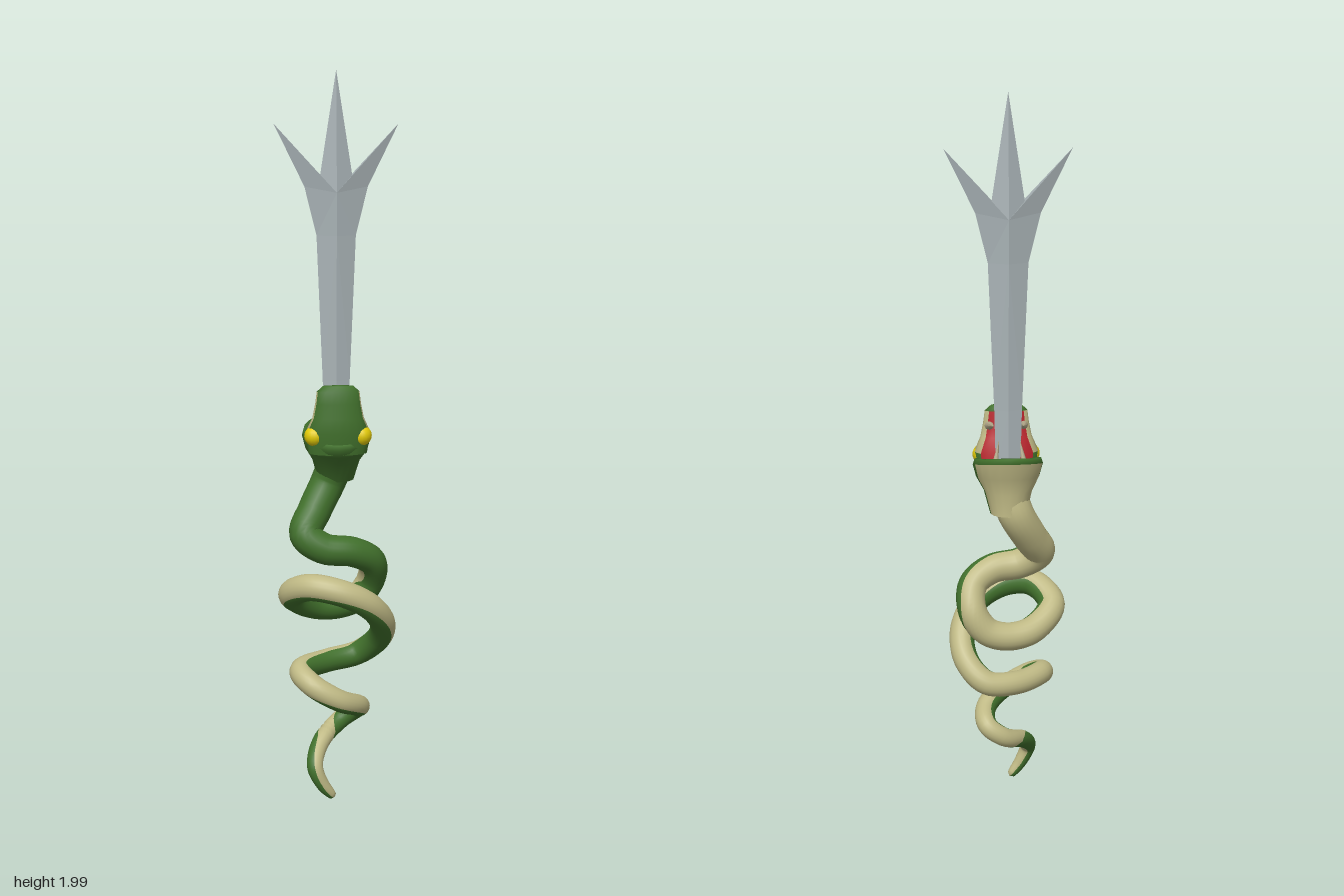
import * as THREE from 'three';

const mat = (name, color) => {
  const m = new THREE.MeshStandardMaterial({ color });
  m.name = name;
  return m;
};
const V = (x, y, z) => new THREE.Vector3(x, y, z);
const SIDES = 20;

// Skin a list of closed rings; colourAt(ring, angle) picks the material index
function loft(name, rings, materials, colourAt) {
  const pos = rings.flat().flatMap(p => [p.x, p.y, p.z]);
  const lists = materials.map(() => []);
  for (let i = 0; i < rings.length - 1; i++) {
    for (let j = 0; j < SIDES; j++) {
      const k = (j + 1) % SIDES;
      const a = i * SIDES + j, b = i * SIDES + k, c = b + SIDES, d = a + SIDES;
      let angle = (j + 0.5) / SIDES * 360;
      if (angle > 180) angle = 360 - angle;
      lists[colourAt(i, angle)].push(a, b, c, a, c, d);
    }
  }
  const g = new THREE.BufferGeometry();
  g.setAttribute('position', new THREE.Float32BufferAttribute(pos, 3));
  g.setIndex(lists.flat());
  let start = 0;
  lists.forEach((l, i) => { g.addGroup(start, l.length, i); start += l.length; });
  g.computeVertexNormals();
  const mesh = new THREE.Mesh(g, materials);
  mesh.name = name;
  return mesh;
}

// Horizontal oval ring, angle 0 at the back; tilt lifts the back edge
function oval([y, z, hw, dz, tilt = 0]) {
  return Array.from({ length: SIDES }, (_, j) => {
    const a = j / SIDES * Math.PI * 2;
    return V(-hw * Math.sin(a), y + tilt * Math.cos(a), z - dz * Math.cos(a));
  });
}

// Belly faces sideways on the tail, up and outward on the coils, back on the neck
function bellyDirection(p, t) {
  const coil = V(p.x, 0, p.z).normalize().add(V(0, 0.6, -0.7));
  const neck = V(-8 * Math.max(p.x, 0), -0.1, -1);
  return V(1, 0.2, 0)
    .lerp(coil, THREE.MathUtils.smoothstep(t, 0.08, 0.17))
    .lerp(neck, THREE.MathUtils.smoothstep(t, 0.69, 0.75));
}

// Coiled body swept along a path from tail to neck, thickening by rule
function body(materials) {
  const curve = new THREE.CatmullRomCurve3([
    V(-0.016, 0.015, 0.092), V(-0.05, 0.06, 0.10), V(-0.07, 0.11, 0.095), V(-0.05, 0.16, 0.04),
    V(0.01, 0.20, -0.025), V(0.055, 0.235, -0.02), V(0.055, 0.265, 0.04), V(0, 0.30, 0.095),
    V(-0.075, 0.345, 0.09), V(-0.105, 0.37, 0.04), V(-0.03, 0.372, -0.035), V(0.06, 0.385, -0.06),
    V(0.115, 0.44, -0.02), V(0.12, 0.51, 0.045), V(0.075, 0.575, 0.095), V(0, 0.615, 0.11),
    V(-0.08, 0.625, 0.085), V(-0.128, 0.585, 0.015), V(-0.07, 0.535, -0.045), V(0, 0.525, -0.068),
    V(0.06, 0.545, -0.073), V(0.098, 0.60, -0.065), V(0.095, 0.665, -0.025), V(0.04, 0.70, 0.003),
    V(-0.04, 0.713, 0.01), V(-0.088, 0.75, -0.005), V(-0.06, 0.81, -0.045), V(-0.022, 0.88, -0.075),
    V(-0.003, 0.93, -0.07),
  ]);
  const steps = 196, rings = [];
  for (let i = 0; i <= steps; i++) {
    const t = i / steps;
    const centre = curve.getPoint(t), tan = curve.getTangent(t);
    const r = 0.043 * t ** 0.25 + 0.007 * THREE.MathUtils.smoothstep(t, 0.78, 1);
    const u = bellyDirection(centre, t);
    u.addScaledVector(tan, -u.dot(tan)).normalize();
    const v = tan.clone().cross(u);
    rings.push(Array.from({ length: SIDES }, (_, j) => {
      const a = j / SIDES * Math.PI * 2;
      return centre.clone().addScaledVector(u, r * Math.cos(a)).addScaledVector(v, r * Math.sin(a));
    }));
  }
  return loft('coiledBody', rings, materials, (i, a) => (a < 88 ? 1 : 0));
}

// Three-pronged blade with a raised ridge, mirrored into four quarters
function blade(material) {
  const ridge = [[1.68, 0.028], [1.68, 0.028], [1.68, 0.028], [1.68, 0.028], [1.565, 0.023], [1.17, 0.013], [1, 0.011]];
  const edge = [[0, 2], [0.043, 1.725], [0.166, 1.86], [0.085, 1.695], [0.053, 1.565], [0.037, 1.17], [0.033, 1]];
  const pos = [];
  for (const sx of [1, -1]) for (const sz of [1, -1]) {
    const R = i => [0, ridge[i][0], sz * ridge[i][1]];
    const E = i => [sx * edge[i][0], edge[i][1], 0];
    const tri = (a, b, c) => pos.push(...a, ...(sx * sz > 0 ? [...b, ...c] : [...c, ...b]));
    for (let i = 0; i < edge.length - 1; i++) {
      tri(R(i), E(i + 1), E(i));
      if (i > 2) tri(R(i), R(i + 1), E(i + 1));
    }
  }
  const g = new THREE.BufferGeometry();
  g.setAttribute('position', new THREE.Float32BufferAttribute(pos, 3));
  g.computeVertexNormals();
  const mesh = new THREE.Mesh(g, material);
  mesh.name = 'blade';
  mesh.position.z = -0.058;
  return mesh;
}

// Tapered tooth between two points
function tooth(name, from, to, radius, material) {
  const d = to.clone().sub(from);
  const mesh = new THREE.Mesh(new THREE.ConeGeometry(radius, d.length(), 8), material);
  mesh.name = name;
  mesh.position.copy(from).addScaledVector(d, 0.5);
  mesh.quaternion.setFromUnitVectors(V(0, 1, 0), d.normalize());
  return mesh;
}

export function createModel() {
  const green = mat('scale green', 0x41702c);
  const tan = mat('belly tan', 0xbfb985);
  const red = mat('mouth red', 0xb8242c);
  const yellow = mat('eye yellow', 0xe3cb08);
  const bone = mat('tooth bone', 0xb5ab8c);
  const steel = mat('blade steel', 0xaab4b7);
  const skin = [green, tan, red];

  const model = new THREE.Group();
  model.name = 'serpentSword';
  model.add(body(skin), blade(steel));

  // Head base and lower jaw, hollowed into a red mouth
  const lower = [
    [0.89, -0.076, 0.05, 0.048], [0.95, -0.058, 0.066, 0.064],
    [0.985, -0.048, 0.086, 0.085, 0.012], [1.02, -0.05, 0.095, 0.1, 0.025],
    [1.035, -0.05, 0.09, 0.098, 0.025], [1.032, -0.05, 0.074, 0.08, 0.025],
    [0.995, -0.05, 0.05, 0.05], [0.985, -0.05, 0, 0],
  ];
  model.add(loft('lowerJaw', lower.map(oval), skin,
    (i, a) => (i > 4 ? 2 : i < 3 && a < 70 ? 1 : 0)));

  // Upper jaw with red palate and pale lips
  const upper = [
    [0.98, 0, 0.08, 0.04], [1.04, 0.004, 0.088, 0.044], [1.08, 0.013, 0.07, 0.031],
    [1.12, 0.015, 0.062, 0.023], [1.152, 0.014, 0.058, 0.021],
    [1.167, 0.012, 0.042, 0.013], [1.169, 0.012, 0, 0],
  ];
  model.add(loft('upperJaw', upper.map(oval), skin,
    (i, a) => (i > 3 ? 0 : a < 50 ? 2 : a < 100 && i > 0 ? 1 : 0)));

  // Eyes, fangs and lower teeth on both sides
  for (const s of [1, -1]) {
    const eye = new THREE.Mesh(new THREE.SphereGeometry(0.028, 16, 12), yellow);
    eye.name = 'eye';
    eye.position.set(s * 0.064, 1.03, 0.012);
    model.add(eye,
      tooth('upperFang', V(s * 0.047, 1.11, 0.012), V(s * 0.04, 1.13, -0.074), 0.014, bone),
      tooth('lowerFang', V(s * 0.04, 1.03, -0.118), V(s * 0.028, 1.1, -0.104), 0.01, bone));
  }
  return model;
}
